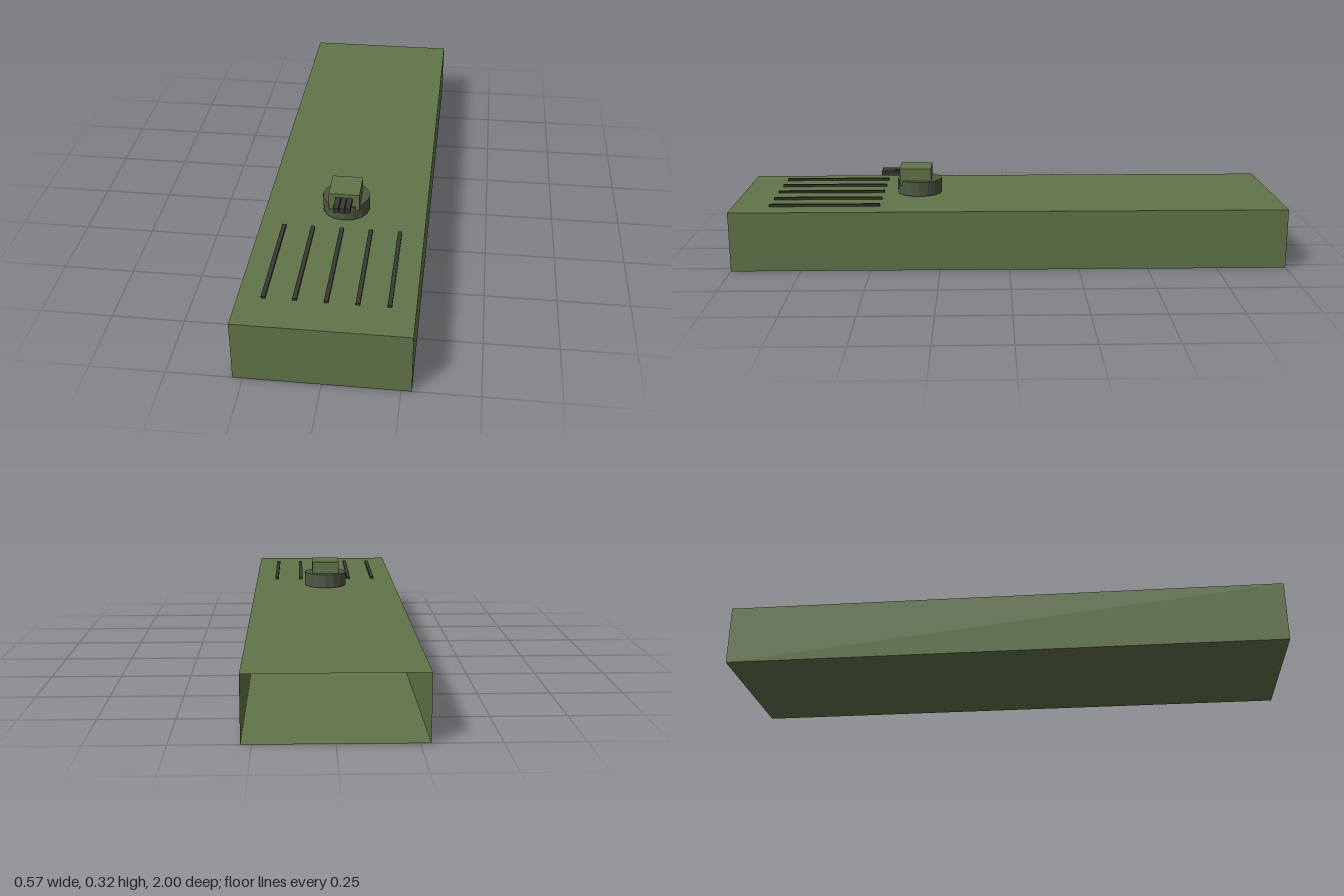
import * as THREE from 'three';

const hullGreen = new THREE.MeshStandardMaterial({ color: 0x617549, side: THREE.DoubleSide });
hullGreen.name = 'hull green';
const baseGreen = new THREE.MeshStandardMaterial({ color: 0x4f5842, flatShading: true });
baseGreen.name = 'dark olive';
const gunGrey = new THREE.MeshStandardMaterial({ color: 0x363833 });
gunGrey.name = 'dark grey';

function add(parent, name, geometry, material, x, y, z) {
  const mesh = new THREE.Mesh(geometry, material);
  mesh.name = name;
  mesh.position.set(x, y, z);
  parent.add(mesh);
  return mesh;
}

// Box shell without its rear (-z) face
function openBackBox(w, h, d) {
  const geometry = new THREE.BoxGeometry(w, h, d);
  const index = Array.from(geometry.index.array);
  geometry.setIndex(index.slice(0, 30)); // the rear face is the last six indices
  geometry.clearGroups();
  return geometry;
}

export function createModel() {
  const model = new THREE.Group();
  model.name = 'landingBarge';

  // Hull: thin shell, open at the stern
  add(model, 'hull', openBackBox(0.567, 0.217, 2), hullGreen, 0, 0.1085, 0);

  // Long rails on the foredeck
  const rails = new THREE.Group();
  rails.name = 'deckRails';
  for (let i = -2; i <= 2; i++) {
    add(rails, 'deckRail', new THREE.BoxGeometry(0.014, 0.008, 0.4), gunGrey, i * 0.1, 0.2225, 0.667);
  }
  model.add(rails);

  // Turret: round base, boxy housing and three barrels
  const turret = new THREE.Group();
  turret.name = 'turret';
  add(turret, 'turretBase', new THREE.CylinderGeometry(0.083, 0.083, 0.053, 16), baseGreen, 0, 0.2485, 0.333);
  add(turret, 'turretHousing', new THREE.BoxGeometry(0.107, 0.063, 0.117), hullGreen, 0, 0.2895, 0.346);
  for (let i = -1; i <= 1; i++) {
    add(turret, 'gunBarrel', new THREE.BoxGeometry(0.018, 0.018, 0.1), gunGrey, i * 0.02, 0.299, 0.423);
  }
  model.add(turret);

  return model;
}
